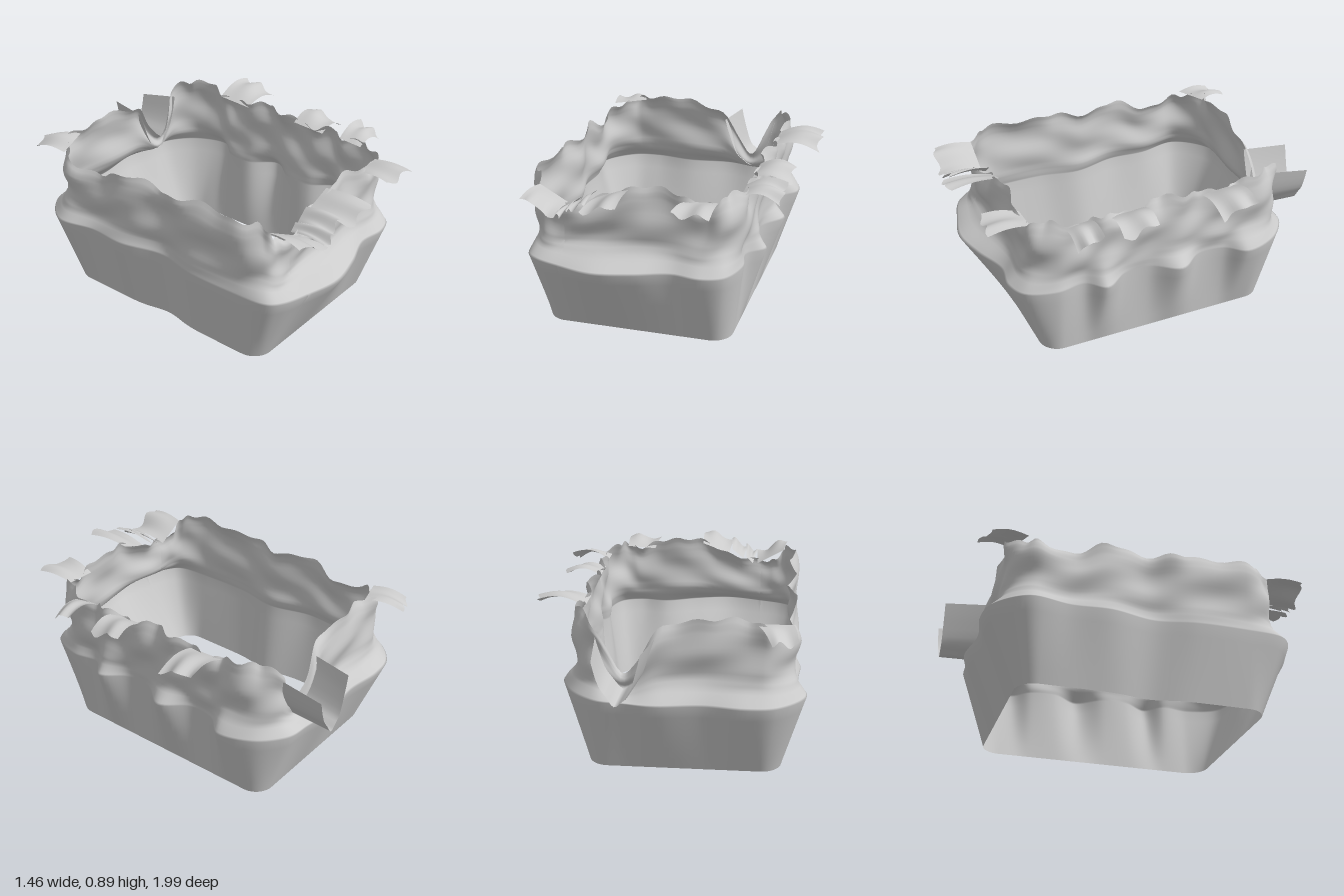
import * as THREE from 'three';

const material = new THREE.MeshStandardMaterial({ color: 0xcccccc, side: THREE.DoubleSide });
const { clamp, lerp } = THREE.MathUtils;

// Widest outline of the wall and the height of the rim above it: x, z, rim height
const outline = [
  [-0.45, 0.86, 0.74], [-0.25, 0.91, 0.79], [-0.05, 0.87, 0.87], [0.15, 0.80, 0.86],
  [0.31, 0.82, 0.81], [0.43, 0.77, 0.84], [0.49, 0.60, 0.85], [0.47, 0.44, 0.82],
  [0.56, 0.34, 0.85], [0.47, 0.20, 0.82], [0.47, 0.05, 0.85], [0.57, -0.10, 0.86],
  [0.47, -0.25, 0.84], [0.48, -0.40, 0.82], [0.57, -0.51, 0.86], [0.51, -0.70, 0.87],
  [0.38, -0.82, 0.82], [0.21, -0.85, 0.56], [0.04, -0.88, 0.80], [-0.20, -0.85, 0.87],
  [-0.42, -0.88, 0.87], [-0.58, -0.85, 0.84], [-0.73, -0.68, 0.81], [-0.69, -0.45, 0.77],
  [-0.70, -0.23, 0.85], [-0.64, 0.02, 0.83], [-0.68, 0.25, 0.86], [-0.68, 0.54, 0.86],
  [-0.66, 0.74, 0.85], [-0.59, 0.81, 0.77],
];

// Smooth surface from a function over a grid of (u, v) in 0..1
function surface(name, nu, nv, at) {
  const pos = [], index = [];
  for (let j = 0; j <= nv; j++) {
    for (let i = 0; i <= nu; i++) pos.push(...at(i / nu, j / nv));
  }
  for (let j = 0; j < nv; j++) {
    for (let i = 0; i < nu; i++) {
      const a = j * (nu + 1) + i, b = a + 1, c = a + nu + 1, d = c + 1;
      index.push(a, b, d, a, d, c);
    }
  }
  const g = new THREE.BufferGeometry();
  g.setAttribute('position', new THREE.Float32BufferAttribute(pos, 3));
  g.setIndex(index);
  g.computeVertexNormals();
  const mesh = new THREE.Mesh(g, material);
  mesh.name = name;
  return mesh;
}

// Nearest point on the rounded rectangle of the foot, with its outward direction
function foot(x, z) {
  const r = 0.11;
  const cx = clamp(x, -0.61 + r, 0.43 - r), cz = clamp(z, -0.70 + r, 0.66 - r);
  const d = Math.hypot(x - cx, z - cz);
  const ox = (x - cx) / d, oz = (z - cz) / d;
  // Shallow dent in the middle of the right side
  const dent = x < -0.5 ? 0.035 * Math.exp(-((z / 0.13) ** 2)) : 0;
  return { x: cx + ox * r + dent, z: cz + oz * r, ox, oz };
}

// Cross-sections above the widest line: height share, spread share, outward push
const upper = [
  [0, 1, 0], [0.07, 0.80, 0.005], [0.17, 0.45, 0.02], [0.30, 0.18, 0.04],
  [0.46, 0.14, 0.045], [0.62, 0.14, 0.05], [0.80, 0.14, 0.05], [0.92, 0.12, 0.045], [1, 0.1, 0.035],
];

// One continuous skin: straight flaring wall below, crumpled collar above
function wall(curve) {
  return surface('crumpledWall', 240, 30, (u, v) => {
    const p = curve.getPoint(u % 1), f = foot(p.x, p.y);
    if (v < 0.2) return [lerp(f.x, p.x, v * 5), 0.43 * v * 5, lerp(f.z, p.y, v * 5)];
    const k = Math.min((v - 0.2) * 10, 7.999), i = Math.floor(k), t = k - i;
    const [h, spread, push] = upper[i].map((a, n) => lerp(a, upper[i + 1][n], t));
    const a = u * Math.PI * 2;
    // Slanting creases that fade out at the widest line
    const fold = Math.min(1, h * 4) * (0.007 * Math.sin(7 * a + 9 * h)
      + 0.006 * Math.sin(13 * a - 12 * h + 1));
    const curl = h ** 4 * 0.02 * Math.sin(19 * a + 1);
    const nick = h ** 3 * 0.010 * Math.sin(37 * a);
    const out = push + fold + curl;
    return [lerp(f.x, p.x, spread) + f.ox * out, lerp(0.43, p.z + nick, h),
      lerp(f.z, p.y, spread) + f.oz * out];
  });
}

// Torn strip: from rim corners a, b to tip corners c, d, arched and ragged at the tip
function flap(name, a, b, c, d, arch, seed) {
  return surface(name, 12, 8, (u, v) => {
    const reach = v + v * v * 0.05 * (Math.sin(u * 11 + seed * 2) - 1);
    const p = [0, 1, 2].map(n => lerp(lerp(a[n], b[n], u), lerp(c[n], d[n], u), reach));
    p[1] += arch * Math.sin(Math.PI * v) + 0.015 * Math.sin(u * 8 + seed) * v;
    return p;
  });
}

// Open trough running out of the dip in the back rim
function spout() {
  return surface('backSpout', 20, 8, (u, v) => {
    const x = lerp(lerp(0.05, 0.10, v), lerp(0.36, 0.345, v), u);
    const sag = Math.sin(Math.PI * u) ** 0.8;
    const top = 0.76 - 0.05 * u * v;
    return [x, lerp(top, 0.485, sag) + 0.008 * Math.sin(u * 20), lerp(-0.75, -1, v)];
  });
}

export function createModel() {
  const model = new THREE.Group();
  model.name = 'crumpledOpenBox';
  // Plan position in x and y of the curve, rim height in its z
  const curve = new THREE.CatmullRomCurve3(
    outline.map(([x, z, rim]) => new THREE.Vector3(x, z, rim)), true, 'centripetal');
  model.add(wall(curve), spout());

  // Strips folded out along the left side
  for (const [z0, z1, x, y] of [[-0.25, -0.46, 0.73, 0.83], [0.29, 0.09, 0.67, 0.81], [0.55, 0.41, 0.68, 0.82]]) {
    model.add(flap('sideFlap', [0.46, 0.81, z0], [0.46, 0.82, z1],
      [x, y - 0.03, z0], [x, y + 0.03, z1], 0.035, z0 * 9));
  }

  // Strips folded out over the front: x range, reach, heights at both ends
  for (const [x0, x1, z, y0, y1] of [
    [-0.62, -0.43, 0.95, 0.83, 0.74], [-0.43, -0.36, 0.95, 0.74, 0.78], [-0.37, -0.27, 0.93, 0.77, 0.83],
    [-0.28, -0.09, 1.0, 0.80, 0.86], [0.18, 0.38, 0.94, 0.82, 0.83],
  ]) {
    model.add(flap('frontFlap', [x0 + 0.03, y0 - 0.01, 0.70], [x1, y1 - 0.01, 0.70],
      [x0, y0, z - 0.02], [x1 + 0.01, y1, z], 0.015, x0 * 12));
  }

  // Pointed fold on the back corner
  model.add(flap('cornerFold', [-0.65, 0.83, -0.68], [-0.46, 0.85, -0.74],
    [-0.68, 0.80, -0.90], [-0.55, 0.81, -0.94], 0.02, 2));
  return model;
}
